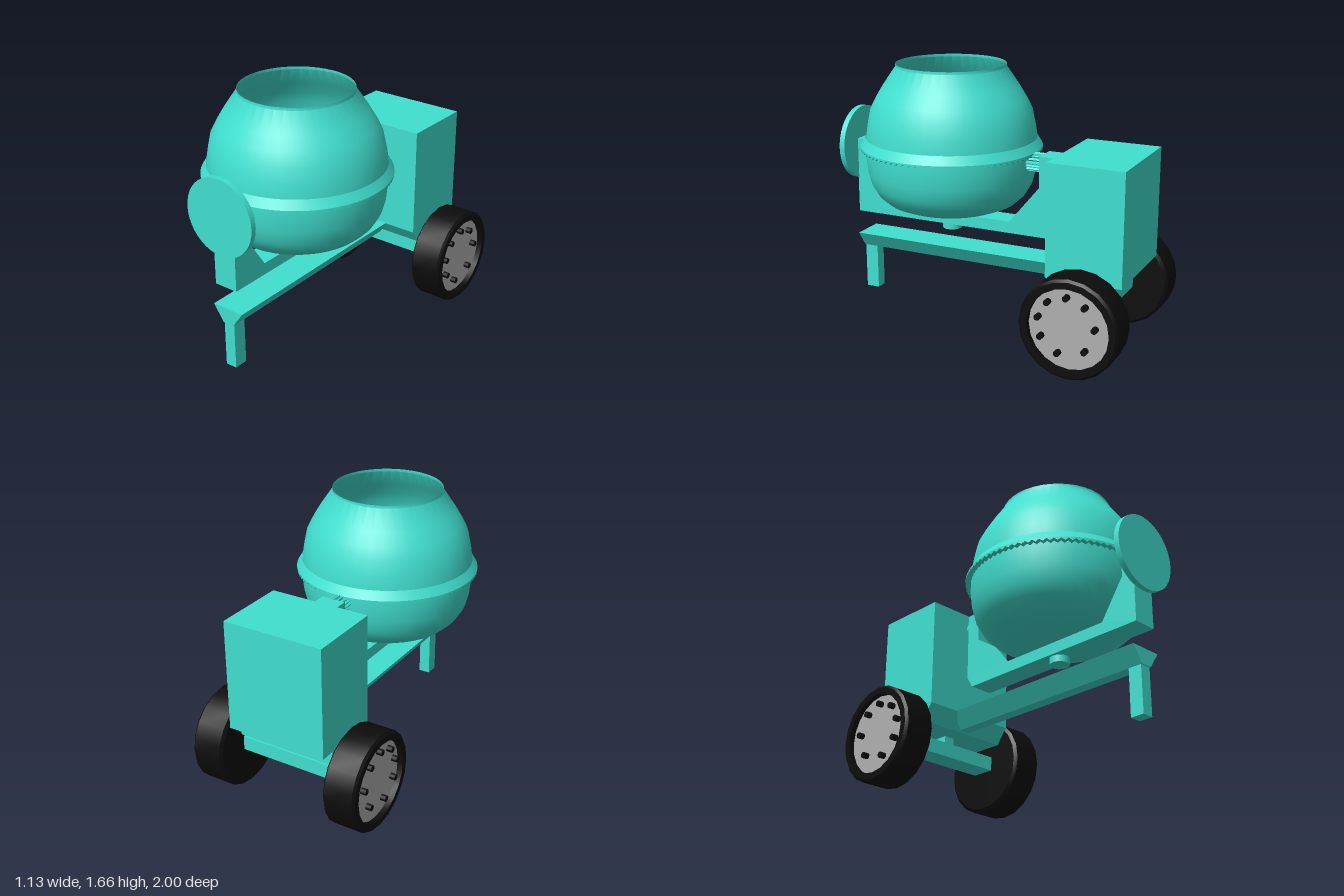
import * as THREE from 'three';
import { toCreasedNormals } from 'three/addons/utils/BufferGeometryUtils.js';

const teal = new THREE.MeshStandardMaterial({ color: 0x40e0d0, side: THREE.DoubleSide });
const black = new THREE.MeshStandardMaterial({ color: 0x0c0c0c });
const grey = new THREE.MeshStandardMaterial({ color: 0xb0b0b0 });
const DRUM_Z = 0.32, SHAFT_Y = 1.105;

const vec = (list) => list.map(([a, b]) => new THREE.Vector2(a, b));

function add(parent, name, geometry, material = teal, x = 0, y = 0, z = 0) {
  const mesh = new THREE.Mesh(geometry, material);
  mesh.name = name;
  mesh.position.set(x, y, z);
  parent.add(mesh);
  return mesh;
}

// Box given by its limits on each axis
function box(parent, name, x0, x1, y0, y1, z0, z1) {
  return add(parent, name, new THREE.BoxGeometry(x1 - x0, y1 - y0, z1 - z0), teal,
    (x0 + x1) / 2, (y0 + y1) / 2, (z0 + z1) / 2);
}

// Cylinder lying along z
function rodZ(parent, name, radius, z0, z1, sides = 24) {
  const g = new THREE.CylinderGeometry(radius, radius, z1 - z0, sides).rotateX(Math.PI / 2);
  return add(parent, name, g, teal, 0, SHAFT_Y, (z0 + z1) / 2);
}

// Outline in (x, y), extruded from z = 0 to depth
const prism = (outline, depth) =>
  new THREE.ExtrudeGeometry(new THREE.Shape(vec(outline)), { depth, bevelEnabled: false });

// Outline in (z, y), extruded across x and centred
const sidePrism = (outline, width) =>
  prism(outline.map(([z, y]) => [-z, y]), width).translate(0, 0, -width / 2).rotateY(Math.PI / 2);

function makeDrum() {
  const drum = new THREE.Group();
  drum.name = 'drum';
  drum.position.z = DRUM_Z;

  // Open bowl
  const profile = vec([
    [0, 0.742], [0.1, 0.744], [0.22, 0.754], [0.33, 0.772], [0.41, 0.805], [0.465, 0.855],
    [0.503, 0.92], [0.524, 1.0], [0.533, 1.09], [0.534, 1.2], [0.52, 1.29], [0.5, 1.385],
    [0.465, 1.455], [0.42, 1.53], [0.34, 1.648], [0.34, 1.665],
  ]);
  add(drum, 'bowl', toCreasedNormals(new THREE.LatheGeometry(profile, 40), 0.6));

  // Gear ring with a toothed lower edge
  const teeth = 84;
  const ringProfile = vec([[0.53, 1.15], [0.565, 1.15], [0.565, 1.16], [0.533, 1.213]]);
  const ring = new THREE.LatheGeometry(ringProfile, teeth * 2);
  const p = ring.attributes.position;
  for (let i = 0; i < p.count; i++) {
    if (i % 4 < 2) p.setY(i, Math.floor(i / 4) % 2 ? 1.152 : 1.137);
  }
  add(drum, 'gearRing', toCreasedNormals(ring, 0.4));
  return drum;
}

function makeWheel(side) {
  const wheel = new THREE.Group();
  wheel.name = side > 0 ? 'leftWheel' : 'rightWheel';
  wheel.position.set(side * 0.455, 0.305, -0.695);

  // Tyre with a closed inner face and an open outer recess
  const tyre = new THREE.LatheGeometry(vec([
    [0, -0.105], [0.285, -0.105], [0.305, -0.09], [0.305, 0.09], [0.29, 0.105],
    [0.25, 0.105], [0.25, 0.04],
  ]), 20).rotateZ(-side * Math.PI / 2);
  add(wheel, 'tyre', toCreasedNormals(tyre, 0.5), black);

  // Hub plate
  add(wheel, 'hub', new THREE.CylinderGeometry(0.252, 0.252, 0.1, 32).rotateZ(Math.PI / 2),
    grey, side * 0.02);

  // Bolts, slightly uneven around the hub
  for (const degrees of [90, 50, 4, -48, -106, -152, 169, 131]) {
    const a = degrees * Math.PI / 180;
    add(wheel, 'bolt', new THREE.CylinderGeometry(0.019, 0.019, 0.07, 12).rotateZ(Math.PI / 2),
      black, side * 0.07, Math.sin(a) * 0.175 + 0.015, -Math.cos(a) * 0.175 + 0.015);
  }
  return wheel;
}

export function createModel() {
  const model = new THREE.Group();
  model.name = 'cementMixer';
  model.add(makeDrum());

  // Yoke cradling the drum
  add(model, 'yoke', sidePrism([
    [0.97, 0.655], [0.97, 1.14], [0.885, 1.14], [0.885, 0.965], [0.725, 0.728], [-0.11, 0.728],
    [-0.305, 0.965], [-0.305, 1.16], [-0.4, 1.16], [-0.4, 0.725], [-0.355, 0.655],
  ], 0.154));
  add(model, 'pivotPin', new THREE.CylinderGeometry(0.06, 0.06, 0.05, 24), teal, 0, 0.637, 0.325);

  // Tilting disc and front stub
  rodZ(model, 'tiltDisc', 0.235, 0.965, 1.0, 40);
  rodZ(model, 'frontStub', 0.05, 0.8, 0.9);

  // Drive shaft and toothed pinion
  rodZ(model, 'driveShaft', 0.04, -0.47, -0.29);
  const pinion = [];
  for (let i = 0; i < 64; i++) {
    const r = i % 4 < 2 ? 0.06 : 0.048, a = (i / 64) * Math.PI * 2;
    pinion.push([Math.cos(a) * r, Math.sin(a) * r]);
  }
  add(model, 'pinion', prism(pinion, 0.13), teal, 0, SHAFT_Y, -0.315);

  // Chassis: tapered spine, tapered cross member, leg and axle
  add(model, 'spine', prism([[-0.037, 0.41], [0.037, 0.41], [0.106, 0.51], [-0.106, 0.51]], 1.46),
    teal, 0, 0, -0.495);
  add(model, 'crossMember',
    sidePrism([[-0.455, 0.51], [-0.53, 0.41], [-0.83, 0.41], [-0.83, 0.51]], 0.64));
  box(model, 'frontLeg', -0.037, 0.037, 0.12, 0.412, 0.87, 0.957);
  box(model, 'axle', -0.36, 0.36, 0.265, 0.355, -0.775, -0.62);
  box(model, 'axleBracket', -0.035, 0.035, 0.35, 0.415, -0.75, -0.645);

  // Motor housing
  box(model, 'motorHousing', -0.322, 0.322, 0.508, 1.2, -0.93, -0.455);

  for (const side of [1, -1]) model.add(makeWheel(side));
  return model;
}
